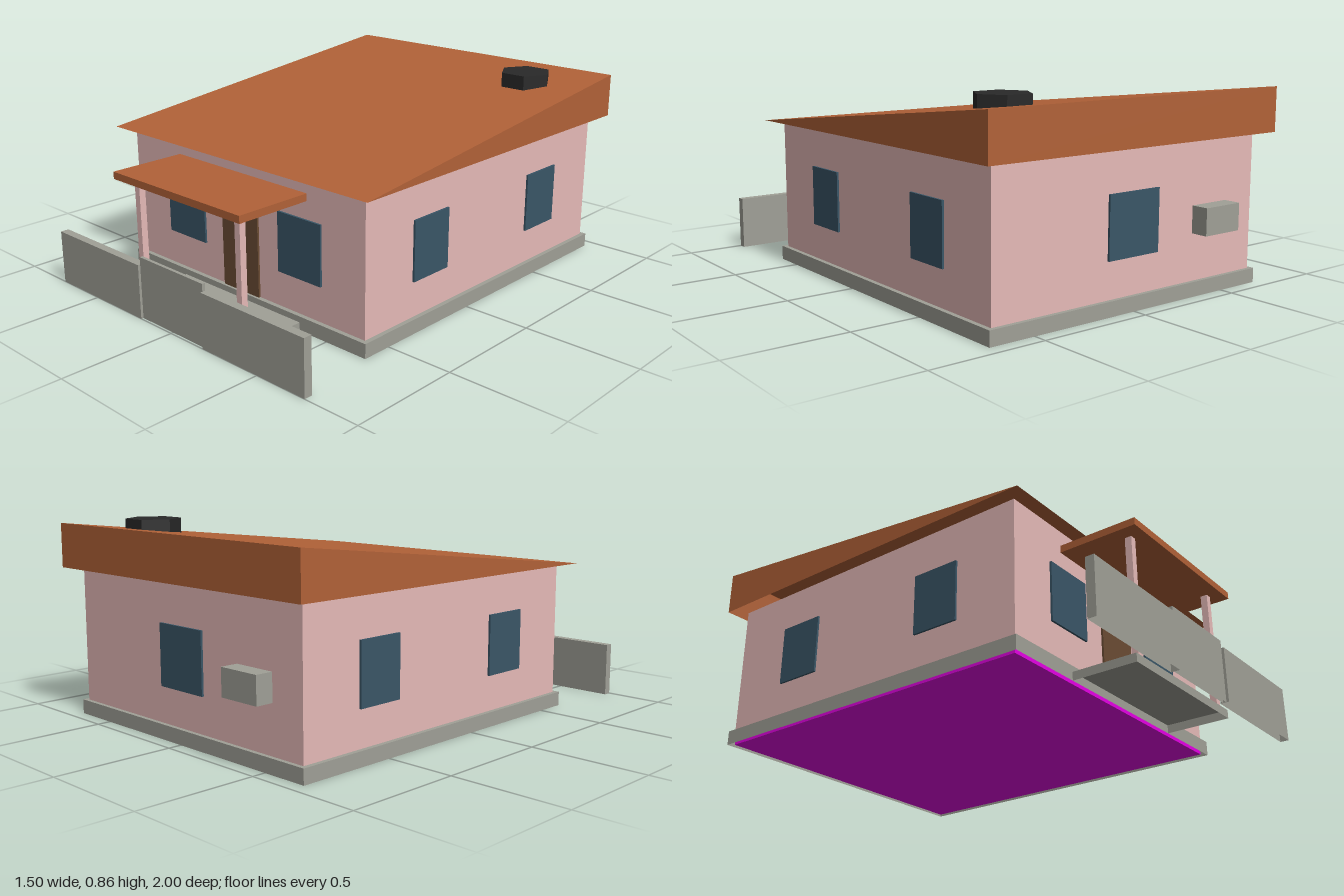
import * as THREE from 'three';

const material = (name, color, side = THREE.FrontSide) => {
  const m = new THREE.MeshStandardMaterial({ color, side });
  m.name = name;
  return m;
};

export function createModel() {
  const house = new THREE.Group();
  house.name = 'house';

  const roofTile = material('terracotta', 0xb26238, THREE.DoubleSide);
  const plaster = material('pink plaster', 0xe6bab8);
  const concrete = material('grey concrete', 0xa0a097, THREE.DoubleSide);
  const glass = material('blue glass', 0x3a5667);
  const wood = material('brown wood', 0x6b4c34);
  const soot = material('dark metal', 0x292929);
  const magenta = material('magenta core', 0xe600e6);

  const add = (name, geometry, mat) => {
    const mesh = new THREE.Mesh(geometry, mat);
    mesh.name = name;
    house.add(mesh);
    return mesh;
  };

  // Box given by its extents along each axis
  const box = (name, mat, [x0, x1], [y0, y1], [z0, z1]) => {
    const mesh = add(name, new THREE.BoxGeometry(x1 - x0, y1 - y0, z1 - z0), mat);
    mesh.position.set((x0 + x1) / 2, (y0 + y1) / 2, (z0 + z1) / 2);
    return mesh;
  };

  // Concrete box without its bottom face
  const shell = (name, xs, ys, zs) => {
    const { geometry } = box(name, concrete, xs, ys, zs);
    const index = Array.from(geometry.index.array);
    index.splice(18, 6);
    geometry.setIndex(index);
    geometry.clearGroups();
  };

  // Body: walls on an open plinth, with a core that closes the underside
  shell('plinth', [-0.705, 0.705], [0, 0.062], [-0.943, 0.635]);
  box('walls', plaster, [-0.685, 0.685], [0.062, 0.645], [-0.925, 0.615]);
  box('core', magenta, [-0.682, 0.682], [0.002, 0.06], [-0.922, 0.612]);

  // Wedge roof, low at the front and open underneath
  const corners = [
    -0.748, 0.645, 0.678, 0.748, 0.645, 0.678, // front edge
    -0.748, 0.645, -0.99, 0.748, 0.645, -0.99, // back eaves
    -0.748, 0.835, -0.99, 0.748, 0.835, -0.99, // back ridge
  ];
  const wedge = new THREE.BufferGeometry();
  wedge.setAttribute('position', new THREE.Float32BufferAttribute(corners, 3));
  wedge.setIndex([0, 1, 5, 0, 5, 4, 3, 2, 4, 3, 4, 5, 1, 3, 5, 2, 0, 4]);
  const roof = wedge.toNonIndexed();
  roof.computeVertexNormals();
  add('roof', roof, roofTile);

  // Hexagonal chimney with points along x
  const hexagon = new THREE.CylinderGeometry(0.117, 0.117, 0.065, 6).rotateY(Math.PI / 6).toNonIndexed();
  hexagon.computeVertexNormals();
  add('chimney', hexagon, soot).position.set(0.469, 0.823, -0.712);

  // Door and windows
  box('door', wood, [-0.108, 0.106], [0.062, 0.517], [0.615, 0.624]);
  const sill = [0.215, 0.472];
  for (const s of [-1, 1]) {
    const span = (a, b) => [Math.min(s * a, s * b), Math.max(s * a, s * b)];
    box('frontWindow', glass, span(0.225, 0.46), sill, [0.615, 0.624]);
    for (const z of [[0.126, 0.338], [-0.644, -0.432]]) {
      box('sideWindow', glass, span(0.685, 0.694), sill, z);
    }

    // Porch posts and fence panels
    box('porchPost', plaster, span(0.29, 0.319), [0.036, 0.55], [0.873, 0.902]);
    shell('fencePanel', span(0.194, 0.748), [0, 0.236], [0.963, 1]);
  }
  box('backWindow', glass, [-0.13, 0.132], sill, [-0.934, -0.925]);

  // Porch and gate
  shell('porchSlab', [-0.355, 0.355], [0, 0.036], [0.635, 0.915]);
  box('porchCanopy', roofTile, [-0.383, 0.382], [0.548, 0.579], [0.615, 0.957]);
  shell('gate', [-0.194, 0.194], [0, 0.268], [0.975, 0.989]);

  // Air conditioner on the back wall
  shell('airConditioner', [-0.526, -0.332], [0.26, 0.374], [-1, -0.925]);

  return house;
}
